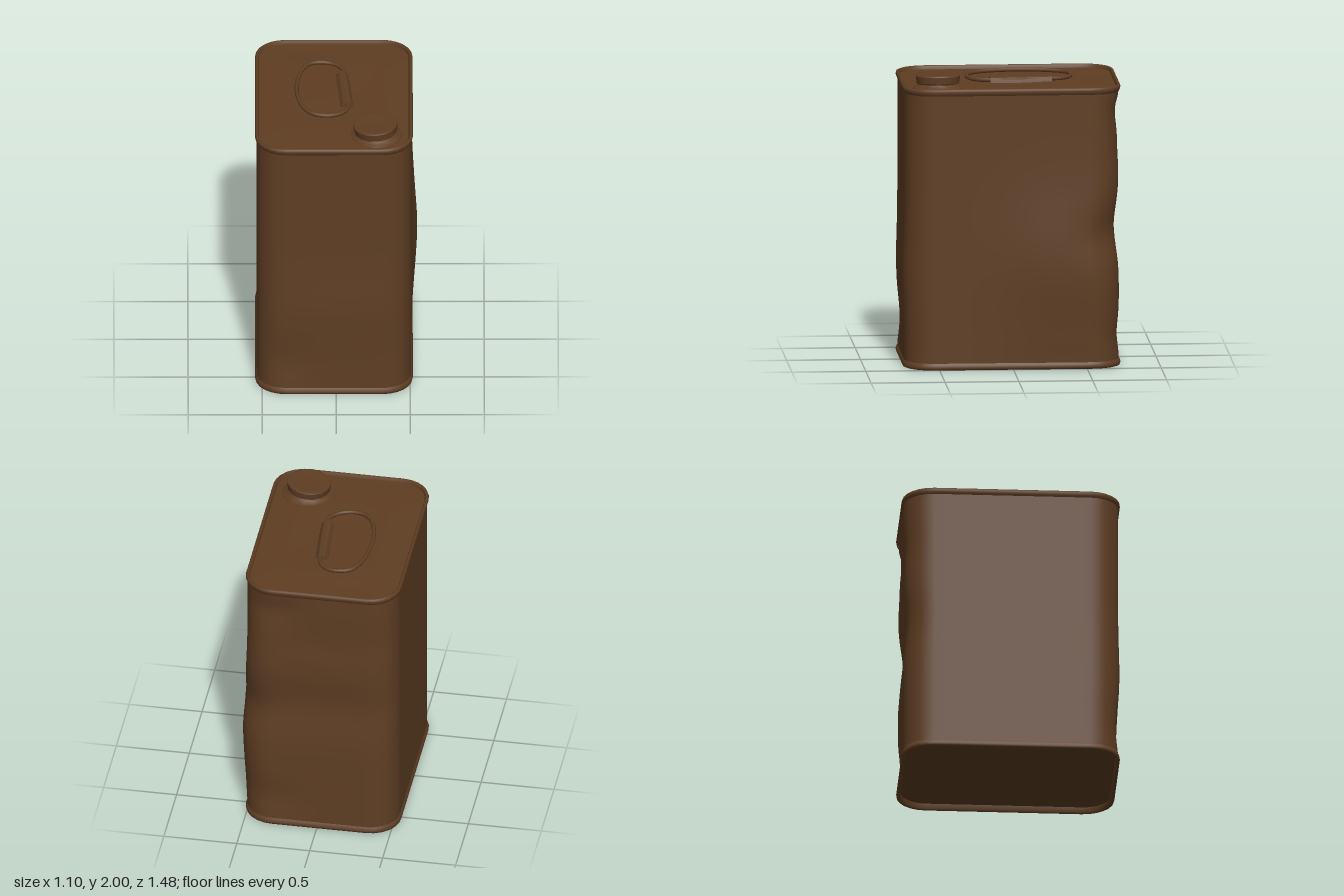
import * as THREE from 'three';
import { toCreasedNormals } from 'three/addons/utils/BufferGeometryUtils.js';

const HALF_W = 0.533, HALF_D = 0.738, RADIUS = 0.21, CENTRE_X = -0.015;

// Dents and bulges in the walls: centre, reach and push
const wallDents = [
  { at: [0.51, 0.72, -0.35], reach: [0.4, 0.45, 0.42], push: [0.043, 0, 0] },
  { at: [0, 0.98, -0.74], reach: [0.9, 0.2, 0.2], push: [0, 0, 0.026] },
  { at: [0, 1.52, -0.74], reach: [0.9, 0.16, 0.2], push: [0, 0, 0.012] },
  { at: [0.46, 0.9, -0.67], reach: [0.2, 0.17, 0.2], push: [-0.025, 0, 0.025] },
  { at: [0.3, 1.74, -0.74], reach: [0.18, 0.12, 0.2], push: [0, 0, 0.025] },
  { at: [0.05, 0.65, 0.74], reach: [0.5, 0.25, 0.2], push: [0, 0, 0.016] },
  { at: [-0.33, 0.25, 0.74], reach: [0.15, 0.17, 0.2], push: [0, 0, -0.016] },
  { at: [0.35, 0.22, -0.74], reach: [0.25, 0.12, 0.2], push: [0, 0, 0.015] },
];
// Creases pressed into the lid
const lidDents = [
  { at: [-0.22, 1.9, -0.6], reach: [0.13, 1, 0.1], push: [0, -0.012, 0] },
  { at: [0.16, 1.9, -0.08], reach: [0.08, 1, 0.22], push: [0, -0.012, 0] },
  { at: [-0.06, 1.9, 0.2], reach: [0.12, 1, 0.08], push: [0, -0.008, 0] },
];

function applyDents(p, dents) {
  const start = p.toArray();
  for (const { at, reach, push } of dents) {
    let d = 0;
    for (let k = 0; k < 3; k++) d += ((start[k] - at[k]) / reach[k]) ** 2;
    p.addScaledVector(new THREE.Vector3(...push), Math.exp(-d));
  }
  return p;
}

// Rounded rectangle, anticlockwise from above, with extra points on the sides
function ring(inset) {
  const r = RADIUS - inset, cx = HALF_W - RADIUS, cz = HALF_D - RADIUS;
  const corners = [[cx, -cz], [-cx, -cz], [-cx, cz], [cx, cz]];
  const pts = [];
  corners.forEach(([x, z], q) => {
    for (let i = 0; i <= 6; i++) {
      const a = (q + i / 6) * Math.PI / 2;
      pts.push([x + r * Math.cos(a), z - r * Math.sin(a)]);
    }
    const last = pts[pts.length - 1];
    const [nx, nz] = corners[(q + 1) % 4];
    const b = (q + 1) * Math.PI / 2;
    const next = [nx + r * Math.cos(b), nz - r * Math.sin(b)];
    for (let i = 1; i < 10; i++) {
      pts.push([0, 1].map(k => last[k] + (next[k] - last[k]) * i / 10));
    }
  });
  return pts;
}

// Skin through rounded rectangles; each row is [y, inset, scale]
function loft(rows, dents = [], hold = () => 1) {
  const pos = [], index = [];
  let n = 0;
  for (const [y, inset, scale = 1] of rows) {
    const pts = ring(inset);
    n = pts.length;
    for (const [x, z] of pts) {
      const flat = new THREE.Vector3(CENTRE_X + x * scale, y, z * scale);
      const bent = applyDents(flat.clone(), dents);
      pos.push(...flat.lerp(bent, hold(y, scale)).toArray());
    }
  }
  for (let j = 0; j < rows.length - 1; j++) {
    for (let i = 0; i < n; i++) {
      const a = j * n + i, b = j * n + (i + 1) % n;
      index.push(a, b, b + n, a, b + n, a + n);
    }
  }
  const g = new THREE.BufferGeometry();
  g.setAttribute('position', new THREE.Float32BufferAttribute(pos, 3));
  g.setIndex(index);
  g.computeVertexNormals();
  return g;
}

export function createModel() {
  const model = new THREE.Group();
  model.name = 'metalCan';
  const rust = new THREE.MeshStandardMaterial({ color: 0x5f3e23 });
  rust.name = 'rust brown';

  const add = (name, geometry, parent = model) => {
    const mesh = new THREE.Mesh(geometry, rust);
    mesh.name = name;
    parent.add(mesh);
    return mesh;
  };

  // Dented walls, held straight where they meet the rims
  const wallRows = [];
  for (let i = 0; i <= 36; i++) wallRows.push([0.035 + 1.855 * i / 36, 0.012]);
  const holdEnds = y => Math.min(1, (y - 0.035) / 0.12, (1.89 - y) / 0.1);
  add('walls', loft(wallRows, wallDents, holdEnds));

  // Rolled rims
  add('bottomRim', loft([
    [0.045, 0.03], [0.012, 0.026], [0.002, 0.016], [0.006, 0.004],
    [0.02, 0], [0.036, 0.004], [0.05, 0.013],
  ]));
  add('topRim', loft([
    [1.875, 0.013], [1.888, 0.004], [1.904, 0], [1.917, 0.004],
    [1.923, 0.014], [1.917, 0.023], [1.895, 0.028],
  ]));

  // Sunken base and lid
  add('base', loft([[0.045, 0.03, 0], [0.045, 0.03, 0.5], [0.045, 0.03, 1]]));
  const lidRows = [[1.896, 0.027, 1]];
  for (let i = 1; i <= 14; i++) {
    const s = 1 - i / 14;
    lidRows.push([1.896 + 0.01 * Math.min(1, (1 - s) * 3), 0.027, s]);
  }
  add('lid', loft(lidRows, lidDents, (y, s) => Math.min(1, (1 - s) * 8)));

  // Wire carrying loop lying on the lid
  const loop = [
    [0.055, -0.28], [0.035, -0.36], [-0.025, -0.415], [-0.1, -0.427], [-0.18, -0.4],
    [-0.24, -0.28], [-0.265, -0.1], [-0.257, 0.05], [-0.22, 0.18], [-0.16, 0.255],
    [-0.08, 0.277], [0, 0.26], [0.065, 0.205], [0.085, 0.13],
  ].map(([x, z]) => new THREE.Vector3(x, 1.918 - 0.045 * Math.min(0, x), z));
  add('handleLoop', new THREE.TubeGeometry(
    new THREE.CatmullRomCurve3(loop, true), 64, 0.014, 8, true));

  // Folded clip holding the straight side of the loop
  const fold = new THREE.Shape();
  fold.moveTo(-0.045, -0.01);
  fold.lineTo(0.045, -0.01);
  fold.lineTo(0.04, 0.006);
  fold.lineTo(0.022, 0.026);
  fold.lineTo(0, 0.032);
  fold.lineTo(-0.022, 0.026);
  fold.lineTo(-0.04, 0.006);
  fold.closePath();
  const clip = add('handleClip', new THREE.ExtrudeGeometry(fold, { depth: 0.42, bevelEnabled: false }));
  clip.position.set(0.042, 1.906, -0.288);
  clip.rotation.y = 0.075;

  // Spout collar and slightly tilted screw cap
  const lathe = points => toCreasedNormals(
    new THREE.LatheGeometry(points.map(p => new THREE.Vector2(...p)), 16), 0.6);
  const collar = add('spoutCollar', lathe([
    [0.18, -0.01], [0.172, 0.008], [0.15, 0.016], [0.135, 0.035],
  ]));
  collar.position.set(0.272, 1.9, 0.49);
  const cap = add('screwCap', lathe([
    [0, -0.065], [0.135, -0.065], [0.143, -0.058], [0.15, -0.012],
    [0.146, -0.004], [0.125, 0], [0.11, -0.003], [0, 0.001],
  ]));
  cap.position.set(0.264, 1.99, 0.495);
  cap.rotation.z = 0.07;

  return model;
}
